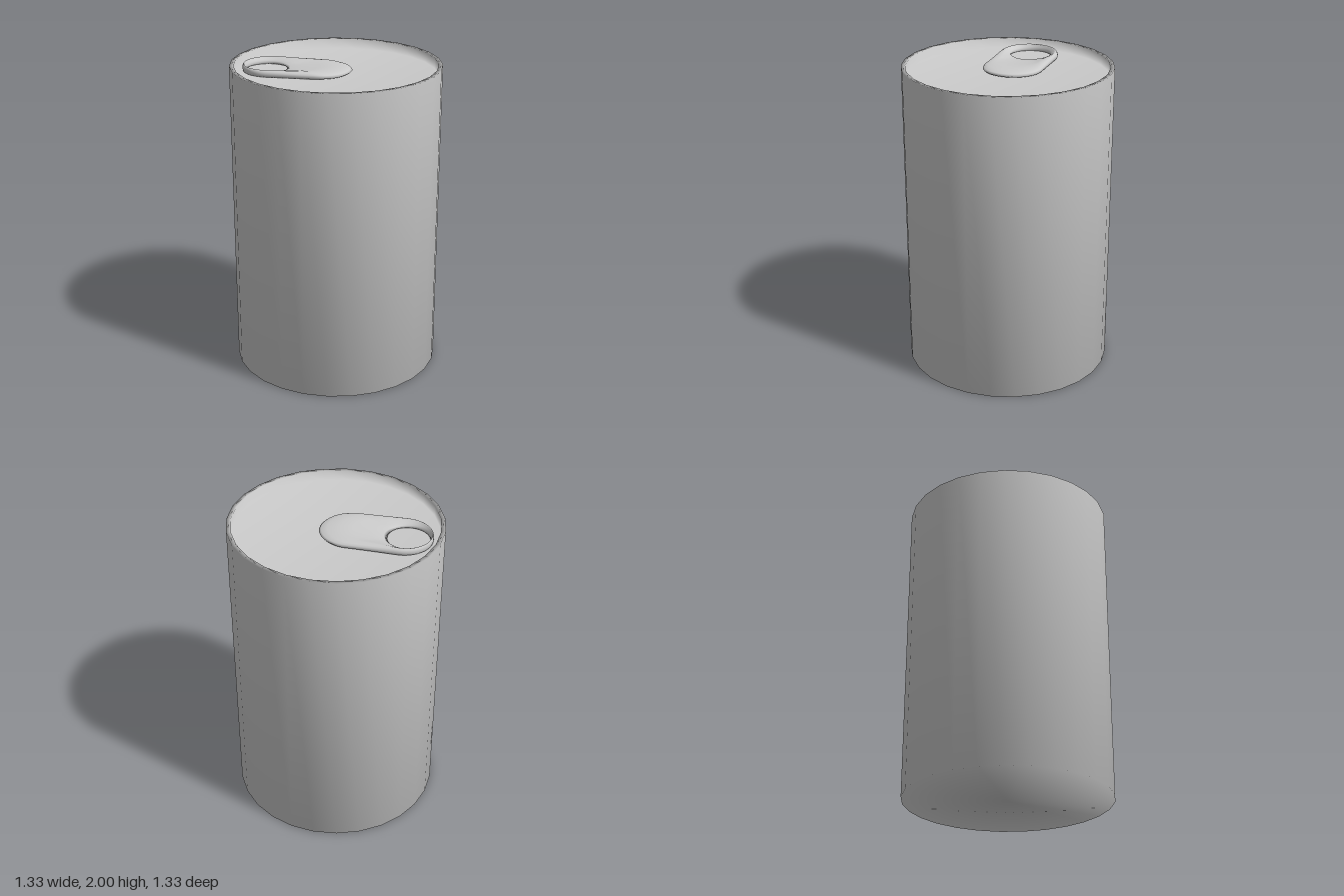
import * as THREE from 'three';

const grey = new THREE.MeshStandardMaterial({ color: 0xcccccc });
const LID_Y = 1.935;

// Can shell: closed lathe with a thin rim and a recessed lid
function makeBody() {
  const profile = [
    [0, 0], [0.667, 0], [0.667, 2], [0.64, 2], [0.64, LID_Y], [0, LID_Y],
  ].map(([r, y]) => new THREE.Vector2(r, y));
  const mesh = new THREE.Mesh(new THREE.LatheGeometry(profile, 27, Math.PI), grey);
  mesh.position.z = 0.002;
  mesh.name = 'canBody';
  return mesh;
}

// Pull tab: smooth loft between a round finger hole and a rounded outline
function makeTab() {
  const outline = new THREE.Shape();
  outline.absarc(-0.09, 0, 0.19, -Math.PI / 2, Math.PI / 2);
  outline.absarc(-0.41, 0, 0.19, Math.PI / 2, Math.PI * 1.5);
  outline.closePath();
  const outer = outline.getSpacedPoints(72);
  outer.pop();

  const holeX = -0.45, holeR = 0.13;
  // [fraction from hole to outline, height]: over the top, then back underneath
  const section = [
    [0, 1.945], [0.05, 1.956], [0.25, 1.963], [0.5, 1.975], [0.7, 1.98],
    [0.88, 1.975], [0.97, 1.966], [1, 1.956], [0.97, 1.945], [0.85, 1.936], [0.1, 1.936],
  ];
  const positions = [], index = [];
  const n = outer.length, m = section.length;
  outer.forEach((p, i) => {
    const a = Math.atan2(p.y, p.x - holeX);
    const hx = holeX + holeR * Math.cos(a), hz = holeR * Math.sin(a);
    section.forEach(([t, y], j) => {
      positions.push(hx + (p.x - hx) * t, y, hz + (p.y - hz) * t);
      const i2 = (i + 1) % n, j2 = (j + 1) % m;
      const q = [i * m + j, i2 * m + j, i * m + j2, i2 * m + j2];
      index.push(q[0], q[1], q[2], q[1], q[3], q[2]);
    });
  });
  const geometry = new THREE.BufferGeometry();
  geometry.setAttribute('position', new THREE.Float32BufferAttribute(positions, 3));
  geometry.setIndex(index);
  geometry.computeVertexNormals();
  const mesh = new THREE.Mesh(geometry, grey);
  mesh.name = 'pullTab';
  return mesh;
}

export function createModel() {
  const group = new THREE.Group();
  group.name = 'drinkCan';
  group.add(makeBody(), makeTab());
  return group;
}
